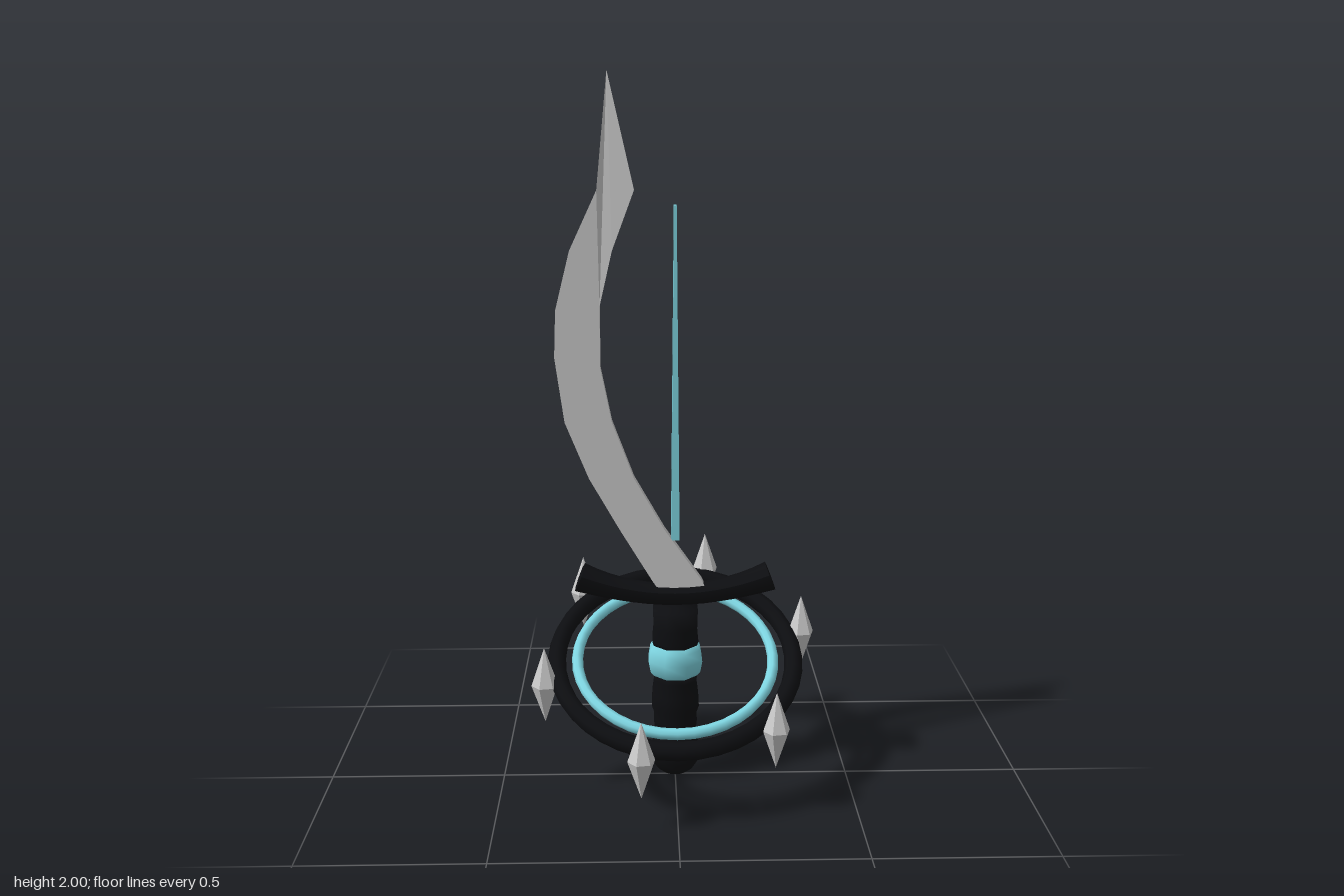
import * as THREE from 'three';

const black = new THREE.MeshStandardMaterial({ color: 0x0d0e11 });
const cyan = new THREE.MeshStandardMaterial({ color: 0x7fd6e2 });
const steel = new THREE.MeshStandardMaterial({ color: 0xcccccc });
const steelFlat = new THREE.MeshStandardMaterial({ color: 0xcccccc, flatShading: true });

const RING_Y = 0.362;
const TILT = THREE.MathUtils.degToRad(25.5);

export function createModel() {
  const group = new THREE.Group();

  const add = (name, geometry, material, x = 0, y = 0, z = 0) => {
    const mesh = new THREE.Mesh(geometry, material);
    mesh.name = name;
    mesh.position.set(x, y, z);
    group.add(mesh);
    return mesh;
  };

  // Move every vertex of a geometry by a rule
  const warp = (geometry, rule) => {
    const p = geometry.attributes.position;
    const v = new THREE.Vector3();
    for (let i = 0; i < p.count; i++) {
      rule(v.fromBufferAttribute(p, i));
      p.setXYZ(i, v.x, v.y, v.z);
    }
    geometry.computeVertexNormals();
    return geometry;
  };

  // Eight-sided turned part with a flat side facing front
  const turned = (name, profile, material) => {
    const points = profile.map(([r, y]) => new THREE.Vector2(r, y));
    const mesh = add(name, new THREE.LatheGeometry(points, 8), material);
    mesh.rotation.y = Math.PI / 8;
    return mesh;
  };

  // Wavy blade: slab outline, thinning to a point above the shoulder
  const outline = [
    [0.09, 0.57], [0.075, 0.6], [-0.03, 0.75], [-0.115, 0.9], [-0.175, 1.06],
    [-0.205, 1.21], [-0.205, 1.38], [-0.17, 1.53], [-0.11, 1.69], [-0.18, 2],
    [-0.21, 1.69], [-0.285, 1.53], [-0.325, 1.37], [-0.33, 1.24], [-0.305, 1.06],
    [-0.24, 0.9], [-0.155, 0.75], [-0.065, 0.6], [-0.045, 0.57],
  ].map(([x, y]) => new THREE.Vector2(x, y));
  const blade = new THREE.ExtrudeGeometry(new THREE.Shape(outline), { depth: 1, bevelEnabled: false });
  add('blade', warp(blade, (v) => {
    const half = 0.018 * Math.min(1, (2 - v.y) / 0.31);
    v.z = (v.z - 0.5) * 2 * half;
  }), steel);

  // Slim tapered strip standing above the guard
  const strip = new THREE.BoxGeometry(0.024, 0.93, 0.036);
  add('strip', warp(strip, (v) => {
    if (v.y > 0) v.x *= 0.3;
  }), cyan, 0, 1.185, 0);

  // Upward-curving crossguard with flared ends
  const guard = new THREE.CylinderGeometry(1, 1, 0.54, 8, 14).rotateY(Math.PI / 8).rotateZ(Math.PI / 2);
  add('crossguard', warp(guard, (v) => {
    const t = Math.abs(v.x) / 0.27;
    const r = 0.035 + 0.012 * t * t * t;
    const angle = Math.atan(1.45 * v.x);
    const middle = 0.555 + 0.725 * v.x * v.x;
    const up = v.y * r * 0.88;
    v.x -= up * Math.sin(angle);
    v.y = middle + up * Math.cos(angle);
    v.z *= r;
  }), black);

  // Grip sections above and below the bead
  turned('upperGrip', [[0, 0.4], [0.064, 0.4], [0.071, 0.42], [0.067, 0.46], [0.069, 0.515], [0, 0.515]], black);
  turned('lowerGrip', [
    [0, 0.135], [0.062, 0.135], [0.067, 0.18], [0.066, 0.205], [0.073, 0.225],
    [0.071, 0.26], [0.065, 0.3], [0.068, 0.325], [0, 0.325],
  ], black);
  turned('gripBead', [
    [0, 0.305], [0.06, 0.308], [0.077, 0.33], [0.083, 0.362], [0.077, 0.395], [0.06, 0.417], [0, 0.42],
  ], cyan);

  // Pommel, flattened from front to back
  const pommel = add('pommel', new THREE.SphereGeometry(0.075, 12, 8), black, 0, 0.075, 0);
  pommel.scale.z = 0.66;

  // Two concentric tilted rings
  const ring = (name, radius, tube, material) => {
    const geometry = new THREE.TorusGeometry(radius, tube, 8, 40).rotateX(Math.PI / 2);
    add(name, geometry, material, 0, RING_Y, 0).rotation.x = TILT;
  };
  ring('outerRing', 0.34, 0.026, black);
  ring('innerRing', 0.281, 0.016, cyan);

  // Six upright spikes around the outer ring
  const spikeShape = [[0, -0.11], [0.038, 0], [0, 0.11]].map(([r, y]) => new THREE.Vector2(r, y));
  const spikeGeometry = new THREE.LatheGeometry(spikeShape, 6).rotateY(THREE.MathUtils.degToRad(40));
  for (let i = 0; i < 6; i++) {
    const a = THREE.MathUtils.degToRad(15 + i * 60);
    const x = 0.383 * Math.cos(a);
    const out = -0.383 * Math.sin(a);
    add('spike', spikeGeometry, steelFlat, x, RING_Y - out * Math.sin(TILT), out * Math.cos(TILT));
  }

  return group;
}
